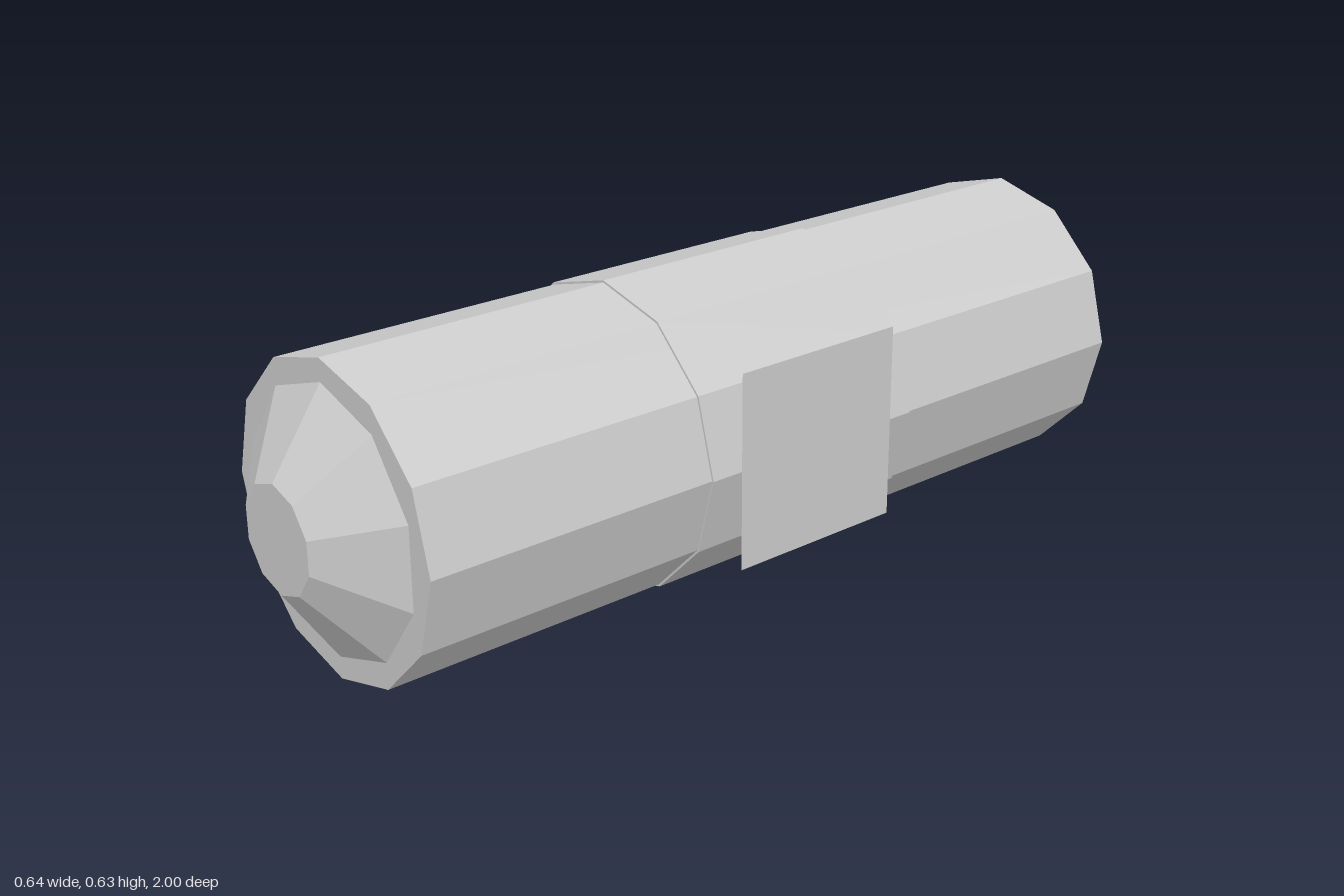
import * as THREE from 'three';

const AXIS_X = -0.0035, AXIS_Y = 0.3175;

export function createModel() {
  const group = new THREE.Group();
  const material = new THREE.MeshStandardMaterial({ color: 0xcccccc, flatShading: true });

  // Faceted cylinder lying along z, with its wider or narrower end facing front
  const addBarrel = (name, frontRadius, backRadius, length, sides, z) => {
    const geometry = new THREE.CylinderGeometry(frontRadius, backRadius, length, sides);
    geometry.rotateX(Math.PI / 2);
    const mesh = new THREE.Mesh(geometry, material);
    mesh.name = name;
    mesh.position.set(AXIS_X, AXIS_Y, z);
    group.add(mesh);
  };

  // Twelve-sided body with a slightly raised band round the middle
  addBarrel('body', 0.312, 0.312, 1.784, 12, 0);
  addBarrel('middleBand', 0.3165, 0.3165, 0.53, 12, 0);

  // Ten-sided tapered end caps
  addBarrel('frontCap', 0.107, 0.267, 0.108, 10, 0.946);
  addBarrel('backCap', 0.267, 0.107, 0.108, 10, -0.946);

  // Thin square label plate on the left side
  const plateMaterial = material.clone();
  plateMaterial.side = THREE.DoubleSide;
  const plate = new THREE.Mesh(new THREE.PlaneGeometry(0.4, 0.4).rotateY(Math.PI / 2), plateMaterial);
  plate.name = 'sidePlate';
  plate.position.set(0.32, 0.3175, 0);
  group.add(plate);

  return group;
}
